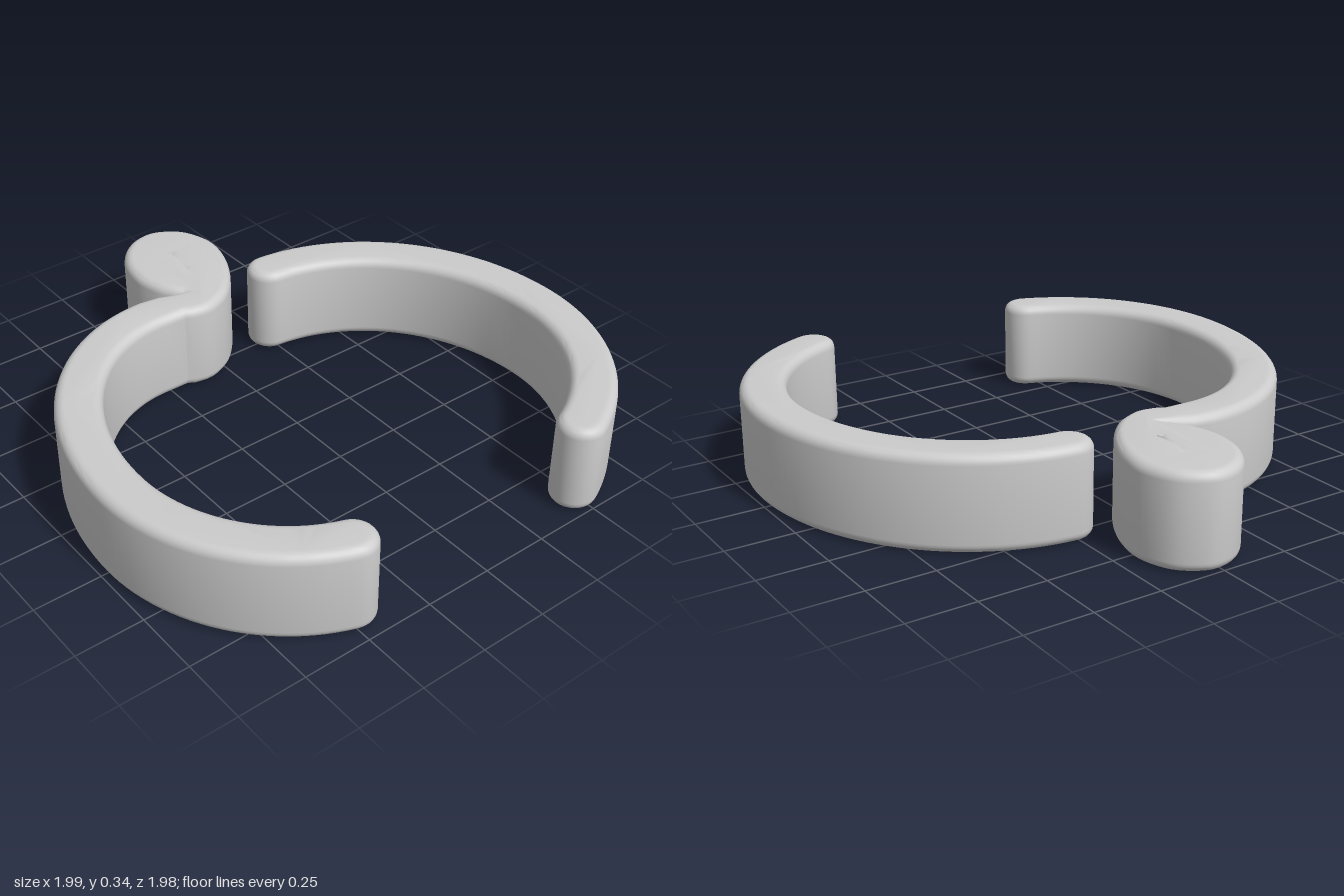
import * as THREE from 'three';
import { toCreasedNormals } from 'three/addons/utils/BufferGeometryUtils.js';

const HEIGHT = 0.342, BEVEL = 0.035, HALF = 0.084;
const V = (x, z) => new THREE.Vector2(x, z);

// Outline of a band along a half ellipse (narrower on the +x side), with a round tip at the start.
// Returns the outer edge from end to start, the tip, then the inner edge back to the end.
function bandOutline(cx, cz, aRight, aLeft, b, t0, t1, roundEnd) {
  const N = 56, outer = [], inner = [], frames = [];
  for (let i = 0; i <= N; i++) {
    const t = t0 + (t1 - t0) * i / N;
    const a = Math.cos(t) > 0 ? aRight : aLeft;
    const p = V(cx + a * Math.cos(t), cz + b * Math.sin(t));
    const n = V(Math.cos(t) / a, Math.sin(t) / Math.abs(b) * Math.sign(b)).normalize();
    frames.push([p, n]);
    outer.push(p.clone().addScaledVector(n, HALF));
    inner.push(p.clone().addScaledVector(n, -HALF));
  }
  // half circle from side s of the band round to the other side
  const tip = ([p, n], dir, s) => {
    const out = [], d = V(-n.y, n.x).multiplyScalar(dir);
    for (let k = 1; k < 14; k++) {
      const u = Math.PI * k / 14;
      out.push(p.clone().addScaledVector(n, s * HALF * Math.cos(u)).addScaledVector(d, HALF * Math.sin(u)));
    }
    return out;
  };
  const turn = Math.sign(b);
  const pts = [...outer.reverse(), ...tip(frames[0], -turn, 1), ...inner];
  if (roundEnd) pts.push(...tip(frames[N], turn, -1));
  return pts;
}

// Upright extrusion with rounded top and bottom edges
function slab(name, outline, hole) {
  const shape = new THREE.Shape(outline);
  if (hole) shape.holes.push(new THREE.Path(hole));
  const geo = new THREE.ExtrudeGeometry(shape, {
    depth: HEIGHT - 2 * BEVEL, bevelEnabled: true, bevelThickness: BEVEL,
    bevelSize: BEVEL, bevelOffset: -BEVEL, bevelSegments: 6, steps: 1,
  });
  geo.rotateX(Math.PI / 2);
  geo.translate(0, HEIGHT - BEVEL, 0);
  const mesh = new THREE.Mesh(toCreasedNormals(geo, 0.5), new THREE.MeshStandardMaterial({ color: 0xcccccc }));
  mesh.name = name;
  return mesh;
}

const smooth = (pts, n) => new THREE.SplineCurve(pts.map(([x, z]) => V(x, z))).getPoints(n);

export function createModel() {
  const group = new THREE.Group();
  group.name = 'splitRing';

  // Rear arc, round at both ends
  group.add(slab('rearArc', bandOutline(0.27, -0.2, 0.70, 0.775, -0.71, 0.417, Math.PI - 0.077, true)));

  // Front arc running into the eyelet beside the gap
  const arc = bandOutline(0.26, 0.28, 0.653, 0.775, 0.62, 0.32, Math.PI, false);
  const eyelet = smooth([
    [-0.415, 0.158], [-0.406, 0.1], [-0.42, 0.04], [-0.465, -0.035], [-0.56, -0.115], [-0.68, -0.175],
    [-0.8, -0.194], [-0.92, -0.152], [-0.99, -0.06], [-0.992, 0.03], [-0.945, 0.11],
    [-0.855, 0.17], [-0.745, 0.19], [-0.65, 0.173], [-0.585, 0.14], [-0.543, 0.102],
  ], 90);
  const neck = [V(-0.568, 0.15), V(-0.588, 0.205)];
  const slot = smooth([
    [-0.838, -0.022], [-0.8, 0.008], [-0.74, 0.025], [-0.67, 0.018], [-0.617, 0.01],
    [-0.67, -0.012], [-0.74, -0.028], [-0.8, -0.03], [-0.838, -0.022],
  ], 32).slice(0, -1);
  group.add(slab('frontArcWithEyelet', [...arc, V(-0.43, 0.185), ...eyelet, ...neck], slot));

  return group;
}
